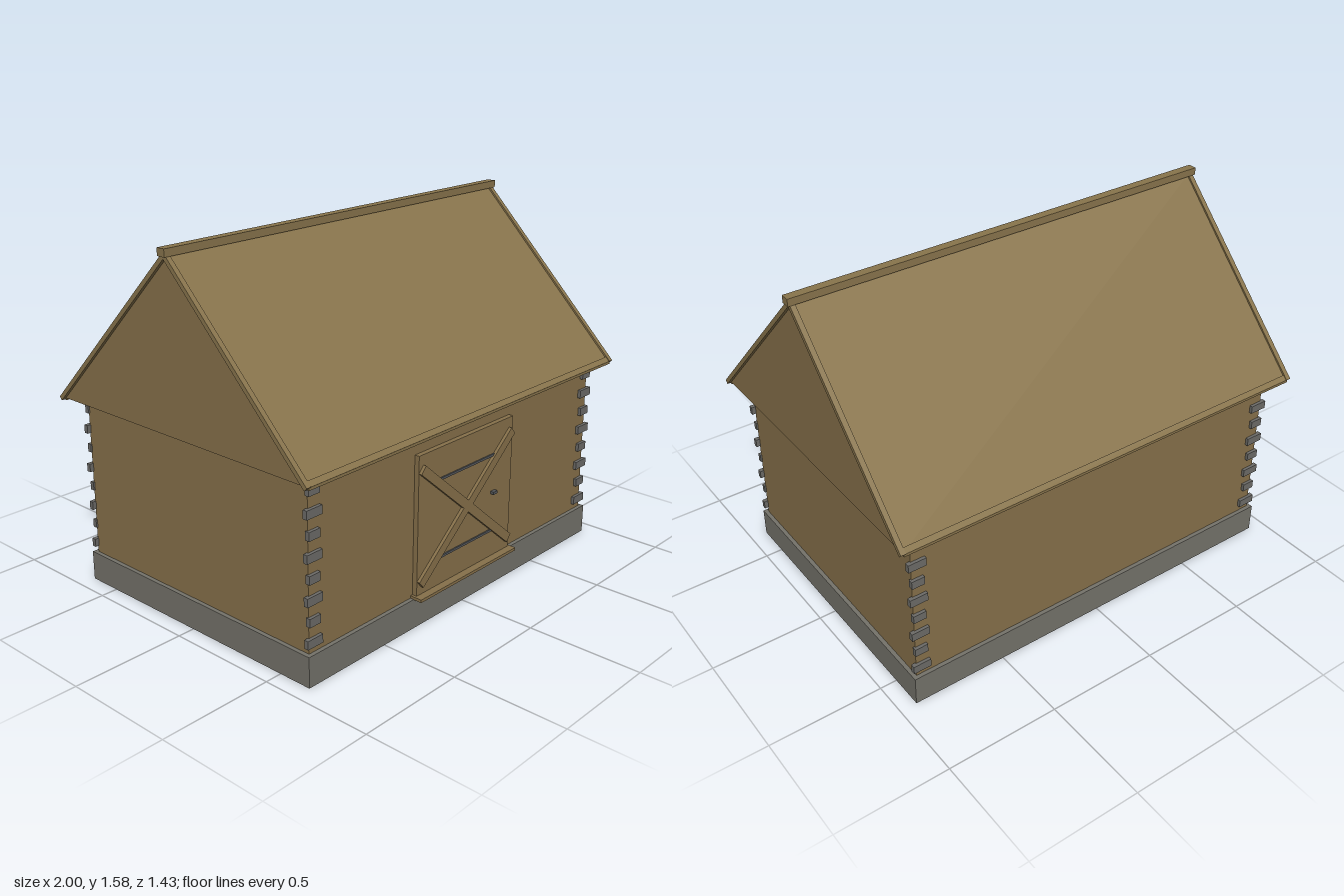
import * as THREE from 'three';

const mat = (name, color) => {
  const m = new THREE.MeshStandardMaterial({ color });
  m.name = name;
  return m;
};

export function createModel() {
  const model = new THREE.Group();
  model.name = 'barn';
  const wood = mat('wall wood', 0x86704a);
  const roofWood = mat('roof wood', 0x88744c);
  const stone = mat('foundation stone', 0x74726a);
  const cornerStone = mat('corner stone', 0x6c6b68);
  const iron = mat('iron', 0x55585c);

  // Box given by its limits on each axis
  const box = (name, material, [x0, x1], [y0, y1], [z0, z1], parent = model) => {
    const mesh = new THREE.Mesh(new THREE.BoxGeometry(x1 - x0, y1 - y0, z1 - z0), material);
    mesh.position.set((x0 + x1) / 2, (y0 + y1) / 2, (z0 + z1) / 2);
    mesh.name = name;
    parent.add(mesh);
    return mesh;
  };

  // Foundation and walls
  box('foundation', stone, [-0.925, 0.925], [0, 0.13], [-0.652, 0.652]);
  box('walls', wood, [-0.907, 0.907], [0.13, 0.84], [-0.634, 0.634]);

  // Corner stones, alternating wide and narrow
  for (const sx of [-1, 1]) for (const sz of [-1, 1]) {
    for (let i = 0; i < 8; i++) {
      const wide = i % 2 === 0;
      const w = wide ? 0.08 : 0.058;
      const stoneBlock = new THREE.Mesh(new THREE.BoxGeometry(w, 0.036, 0.02), cornerStone);
      stoneBlock.position.set(sx * 0.885, 0.177 + i * 0.087, sz * 0.638);
      stoneBlock.name = 'cornerStone';
      model.add(stoneBlock);
    }
  }

  // Solid gable block under the roof
  const gableShape = new THREE.Shape();
  gableShape.moveTo(-0.7, 0.838);
  gableShape.lineTo(0.7, 0.838);
  gableShape.lineTo(0, 1.543);
  gableShape.closePath();
  const gableGeo = new THREE.ExtrudeGeometry(gableShape, { depth: 1.95, bevelEnabled: false });
  gableGeo.translate(0, 0, -0.975);
  gableGeo.rotateY(Math.PI / 2);
  const gable = new THREE.Mesh(gableGeo, wood);
  gable.name = 'gable';
  model.add(gable);

  // Roof slopes with edge boards and eaves
  const slopeAngle = Math.atan2(0.705, 0.7);
  const slopeLength = Math.hypot(0.7, 0.705);
  for (const s of [1, -1]) {
    const side = new THREE.Group();
    side.name = s > 0 ? 'frontRoof' : 'backRoof';
    side.rotation.y = s > 0 ? 0 : Math.PI;
    const slope = new THREE.Group();
    slope.name = 'slope';
    slope.position.set(0, 1.543, 0);
    slope.rotation.x = slopeAngle;
    side.add(slope);
    box('roofBoards', roofWood, [-0.975, 0.975], [-0.002, 0.005], [0, slopeLength], slope);
    for (const x of [-0.979, 0.979]) {
      box('edgeBoard', roofWood, [x - 0.011, x + 0.011], [-0.006, 0.013], [0, slopeLength + 0.006], slope);
    }
    box('eaveBoard', roofWood, [-0.968, 0.968], [-0.004, 0.01], [slopeLength - 0.02, slopeLength + 0.005], slope);
    box('eaveStrip', roofWood, [-0.975, 0.975], [0.829, 0.841], [0.688, 0.71], side);
    model.add(side);
  }
  box('ridgeCap', roofWood, [-1, 1], [1.545, 1.577], [-0.02, 0.02]);

  // Front door
  const door = new THREE.Group();
  door.name = 'door';
  model.add(door);
  box('doorPanel', wood, [-0.31, 0.31], [0.13, 0.745], [0.63, 0.656], door);
  box('doorSill', wood, [-0.322, 0.322], [0.128, 0.141], [0.63, 0.69], door);
  for (const s of [-1, 1]) {
    const brace = box('crossBrace', wood, [-0.387, 0.387], [-0.02, 0.02], [0.65, 0.67], door);
    brace.position.y = 0.438;
    brace.rotation.z = s * Math.atan2(0.497, 0.594);
  }
  for (const y of [0.265, 0.61]) box('doorBar', iron, [-0.2, 0.2], [y - 0.005, y + 0.005], [0.65, 0.662], door);
  box('doorHandle', iron, [0.17, 0.197], [0.433, 0.445], [0.65, 0.672], door);

  return model;
}
